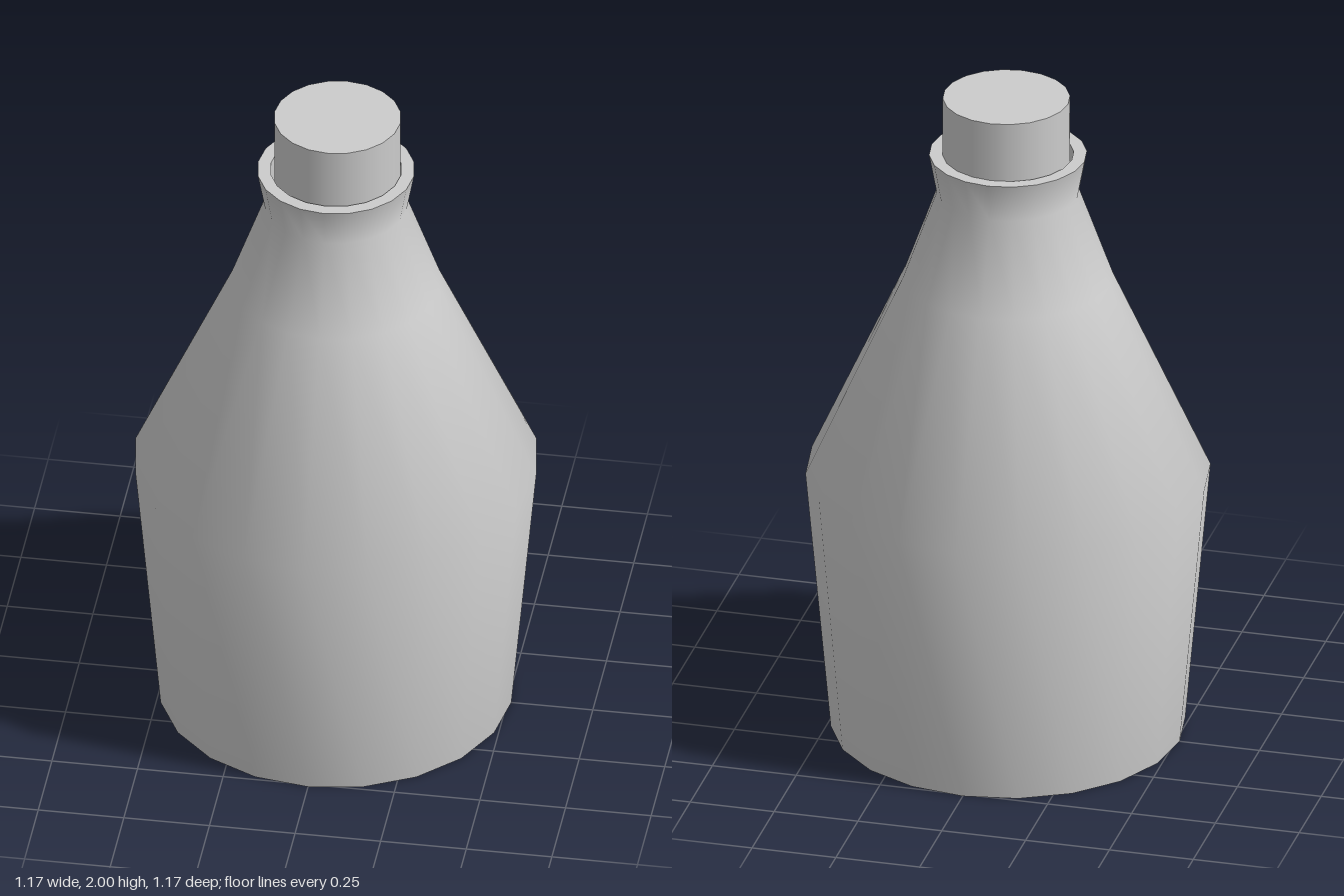
import * as THREE from 'three';

const SIDES = 20;
const material = new THREE.MeshStandardMaterial({ color: 0xcccccc });

function add(group, name, geometry) {
  const mesh = new THREE.Mesh(geometry, material);
  mesh.name = name;
  group.add(mesh);
  return mesh;
}

// Revolved surface from [radius, height] pairs
const lathe = (points) =>
  new THREE.LatheGeometry(points.map(([r, y]) => new THREE.Vector2(r, y)), SIDES);

export function createModel() {
  const group = new THREE.Group();
  group.name = 'bottle';

  // Flared body, sloping shoulder, neck and lip
  add(group, 'body', lathe([[0.512, 0], [0.585, 0.81], [0.303, 1.43], [0.206, 1.7], [0.228, 1.82]]));

  // Separate flat surfaces keep the rims sharp
  add(group, 'base', lathe([[0, 0], [0.512, 0]]));
  add(group, 'lipTop', lathe([[0.228, 1.82], [0.19, 1.82]]));

  // Inside of the mouth, around the stopper
  add(group, 'mouthWall', lathe([[0.19, 1.82], [0.188, 1.7]]));
  add(group, 'mouthFloor', lathe([[0.188, 1.7], [0, 1.7]]));

  // Stopper, seated slightly off centre
  const stopper = add(group, 'stopper', new THREE.CylinderGeometry(0.184, 0.184, 0.3, SIDES));
  stopper.position.set(0.004, 1.85, -0.003);

  return group;
}
